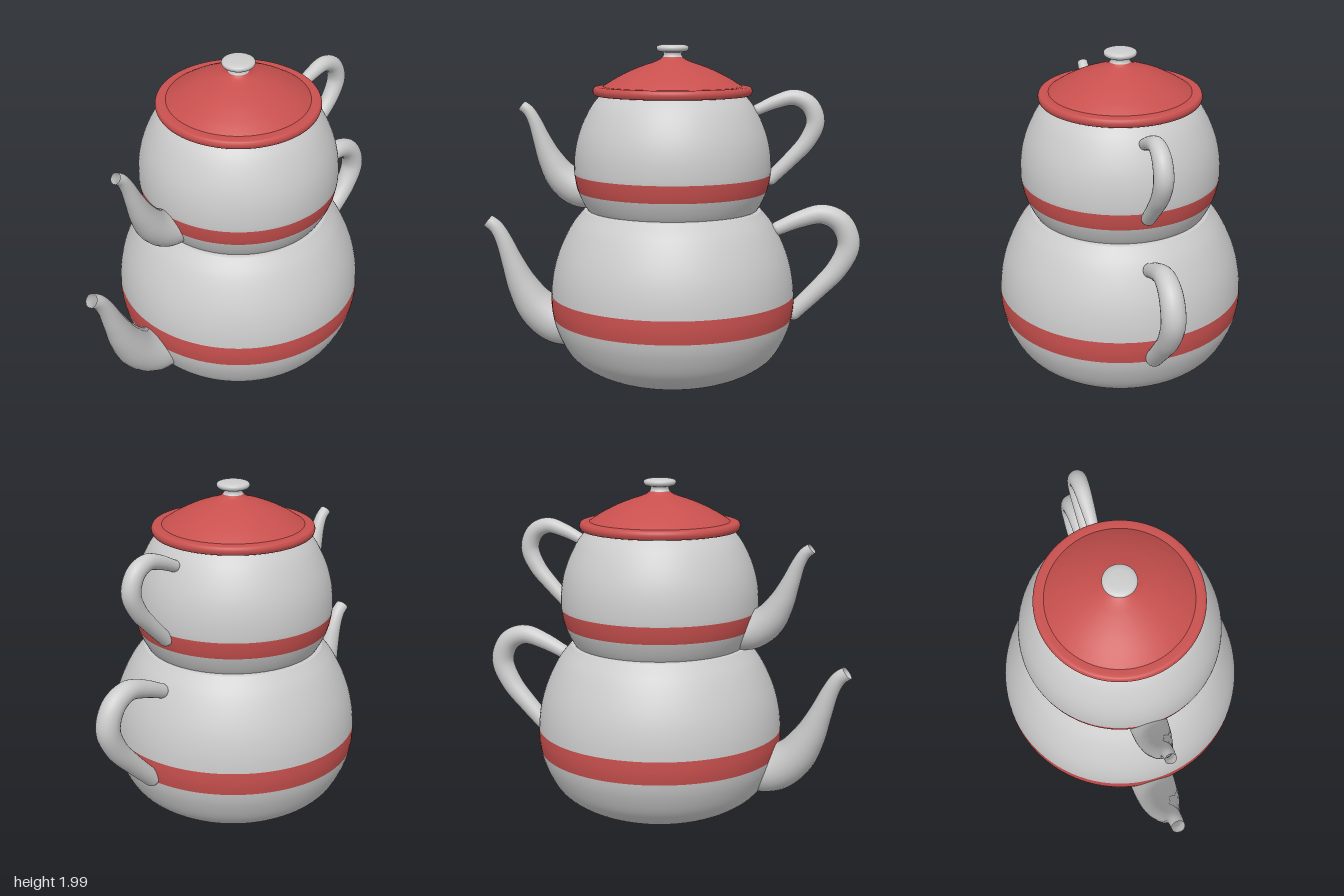
import * as THREE from 'three';

const white = new THREE.MeshStandardMaterial({ color: 0xcccccc, side: THREE.DoubleSide });
const red = new THREE.MeshStandardMaterial({ color: 0xc8504e, side: THREE.DoubleSide });

const v2 = (pts) => pts.map(([x, y]) => new THREE.Vector2(x, y));

function add(parent, name, geometry, material = white) {
  const mesh = new THREE.Mesh(geometry, material);
  mesh.name = name;
  parent.add(mesh);
  return mesh;
}

const lathe = (pts) => new THREE.LatheGeometry(pts, 96);
const smoothLathe = (pts, n = 40) => lathe(new THREE.SplineCurve(v2(pts)).getPoints(n));

// Pot wall, bottom to top
const wall = new THREE.SplineCurve(v2([
  [0, 0.01], [0.15, 0.014], [0.3, 0.033], [0.44, 0.075], [0.55, 0.135], [0.625, 0.21],
  [0.685, 0.33], [0.712, 0.44], [0.717, 0.53], [0.708, 0.64], [0.683, 0.75],
  [0.64, 0.86], [0.585, 0.96], [0.52, 1.04],
])).getPoints(120);

// Piece of the wall between two heights
function wallSlice(lo, hi) {
  const at = (y) => {
    const i = Math.max(1, wall.findIndex((p) => p.y >= y));
    const a = wall[i - 1], b = wall[i];
    return a.clone().lerp(b, (y - a.y) / (b.y - a.y));
  };
  return lathe([at(lo), ...wall.filter((p) => p.y > lo + 1e-4 && p.y < hi - 1e-4), at(hi)]);
}

// Tube with changing radius along a path of [x, y, radius]
function taperedTube(pts) {
  const curve = new THREE.CatmullRomCurve3(
    pts.map(([x, y]) => new THREE.Vector3(x, y, 0)), false, 'catmullrom', 0.5);
  const radii = new THREE.SplineCurve(pts.map((p, i) => new THREE.Vector2(i, p[2])));
  const steps = 48, sides = 24;
  const geo = new THREE.TubeGeometry(curve, steps, 1, sides);
  const { position, normal } = geo.attributes;
  for (let i = 0; i <= steps; i++) {
    const c = curve.getPointAt(i / steps);
    const r = radii.getPoint(curve.getUtoTmapping(i / steps)).y;
    for (let j = 0; j <= sides; j++) {
      const k = i * (sides + 1) + j;
      position.setXYZ(k, c.x + normal.getX(k) * r, c.y + normal.getY(k) * r, normal.getZ(k) * r);
    }
  }
  return geo;
}

const spoutPath = [
  [0.55, 0.33, 0.135], [0.7, 0.345, 0.135], [0.82, 0.43, 0.12], [0.905, 0.56, 0.093],
  [0.965, 0.7, 0.067], [1.015, 0.83, 0.05], [1.06, 0.91, 0.043], [1.11, 0.95, 0.04],
];
const handlePath = [
  [-0.62, 0.935, 0.042], [-0.745, 0.99, 0.05], [-0.875, 1.022, 0.058], [-0.985, 0.97, 0.065],
  [-1.03, 0.845, 0.067], [-0.97, 0.705, 0.062], [-0.855, 0.575, 0.055], [-0.715, 0.435, 0.05],
];

function pot(name, bandLow, bandHigh) {
  const group = new THREE.Group();
  group.name = name;
  add(group, 'lowerWall', wallSlice(0.01, bandLow));
  add(group, 'colourBand', wallSlice(bandLow, bandHigh), red);
  add(group, 'upperWall', wallSlice(bandHigh, 1.04));
  add(group, 'rim', lathe(v2([[0.52, 1.04], [0.508, 1.046], [0.42, 1.046]])));

  // Spout and handle lie in one plane, turned off the front
  const fittings = new THREE.Group();
  fittings.name = 'spoutAndHandle';
  fittings.rotation.y = Math.atan2(-0.83, -0.56);
  add(fittings, 'spout', taperedTube(spoutPath));
  add(fittings, 'handle', taperedTube(handlePath));
  for (const [x, y, r] of [handlePath[0], handlePath.at(-1)]) {
    add(fittings, 'handleEnd', new THREE.SphereGeometry(r, 24, 16)).position.set(x, y, 0);
  }
  group.add(fittings);
  return group;
}

export function createModel() {
  const model = new THREE.Group();
  model.name = 'stackedTeapots';
  model.position.z = -0.01;

  model.add(pot('lowerPot', 0.41, 0.545));
  const upper = pot('upperPot', 0.344, 0.469);
  upper.scale.setScalar(0.8);
  upper.position.y = 0.88;
  model.add(upper);

  // Lid with rolled rim
  const lid = new THREE.Group();
  lid.name = 'lid';
  add(lid, 'lidRim', smoothLathe([
    [0.39, 1.708], [0.445, 1.706], [0.46, 1.722], [0.46, 1.742], [0.445, 1.756], [0.39, 1.757],
  ]), red);
  add(lid, 'lidDome', smoothLathe([
    [0.41, 1.752], [0.38, 1.773], [0.33, 1.804], [0.25, 1.845], [0.17, 1.877],
    [0.11, 1.897], [0.075, 1.912], [0.058, 1.926],
  ]), red);

  // Knob
  add(lid, 'knobNeck', smoothLathe([[0.058, 1.925], [0.052, 1.94], [0.055, 1.955]], 8));
  add(lid, 'knob', smoothLathe([
    [0.045, 1.952], [0.08, 1.958], [0.093, 1.973], [0.088, 1.988], [0.065, 1.996], [0.03, 1.999], [0, 2],
  ]));
  model.add(lid);

  const root = new THREE.Group();
  root.add(model);
  return root;
}
